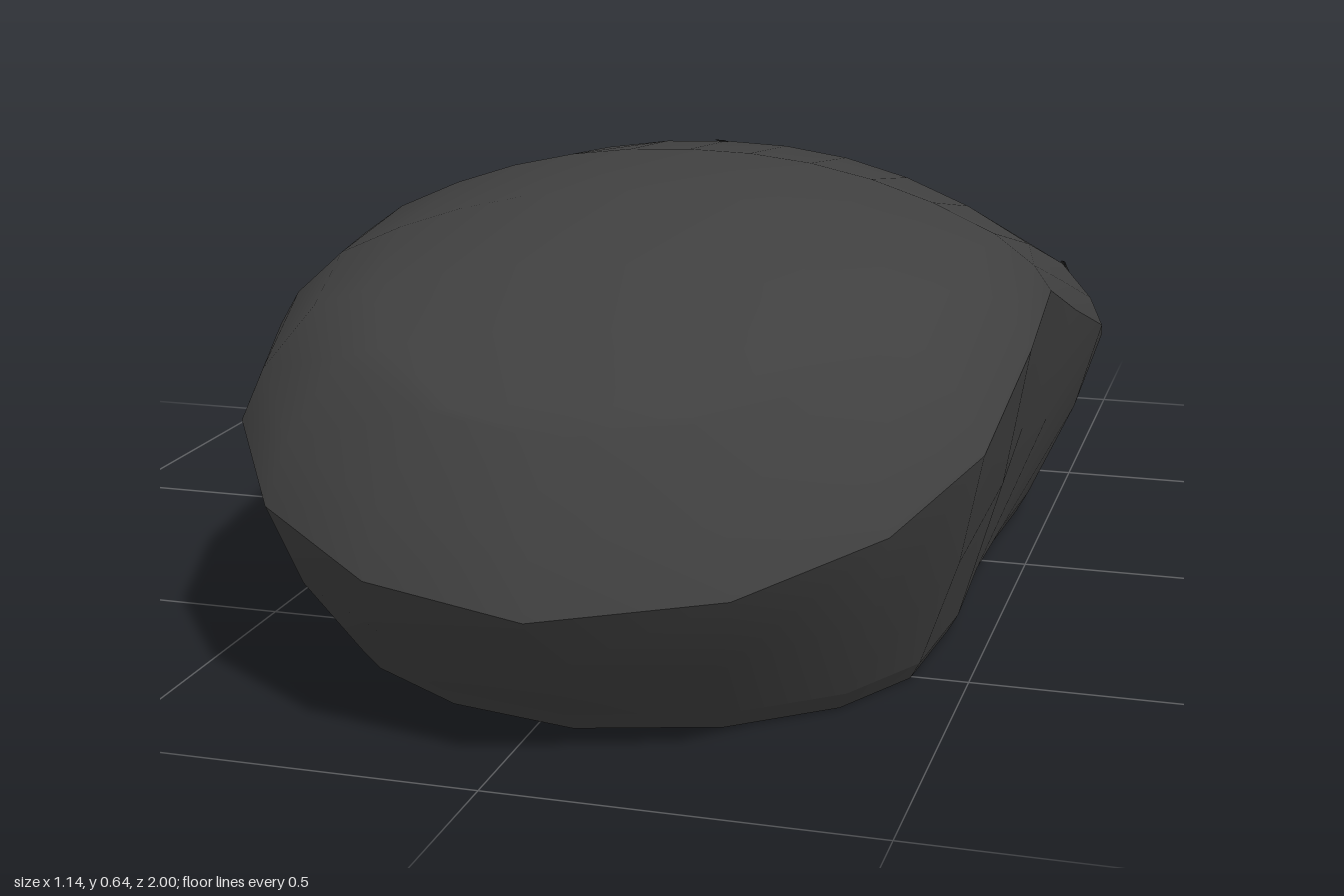
import * as THREE from 'three';
import { mergeVertices, mergeGeometries } from 'three/addons/utils/BufferGeometryUtils.js';

const V = (x, y, z) => new THREE.Vector3(x, y, z);

// Piecewise-linear curve through [z, value] pairs
function curve(pairs) {
  return (z) => {
    let i = 1;
    while (i < pairs.length - 1 && z > pairs[i][0]) i++;
    const [a, b] = [pairs[i - 1], pairs[i]];
    const t = THREE.MathUtils.clamp((z - a[0]) / (b[0] - a[0]), 0, 1);
    return a[1] + (b[1] - a[1]) * t;
  };
}

// Skin rows of points; closed joins the last column to the first
function skin(rows, closed) {
  const pos = [], idx = [], n = rows[0].length;
  rows.forEach((r) => r.forEach((p) => pos.push(p.x, p.y, p.z)));
  for (let i = 0; i < rows.length - 1; i++) {
    for (let j = 0; j < (closed ? n : n - 1); j++) {
      const k = (j + 1) % n;
      const a = i * n + j, b = a + n, c = i * n + k, d = c + n;
      idx.push(a, b, c, c, b, d);
    }
  }
  const g = new THREE.BufferGeometry();
  g.setAttribute('position', new THREE.Float32BufferAttribute(pos, 3));
  g.setIndex(idx);
  return g;
}

function smooth(...geos) {
  const g = mergeVertices(mergeGeometries(geos), 1e-4);
  g.computeVertexNormals();
  return g;
}

export function createModel() {
  const group = new THREE.Group();
  const shellMat = new THREE.MeshStandardMaterial({ color: 0x404040 });
  shellMat.name = 'charcoal plastic';
  const seamMat = new THREE.MeshStandardMaterial({ color: 0x242424, side: THREE.DoubleSide });
  seamMat.name = 'dark seam';
  const add = (name, geo, mat = shellMat, parent = group) => {
    const m = new THREE.Mesh(geo, mat);
    m.name = name;
    parent.add(m);
    return m;
  };

  // Widest outline [x, z], from the nose along +x to the heel and back along -x
  const outline = [
    [-0.04, -1], [0.15, -0.98], [0.33, -0.9], [0.45, -0.75], [0.54, -0.56], [0.565, -0.33],
    [0.55, -0.1], [0.545, 0.15], [0.555, 0.4], [0.535, 0.64], [0.45, 0.8], [0.29, 0.93],
    [0.06, 1], [-0.16, 0.955], [-0.34, 0.84], [-0.445, 0.685], [-0.49, 0.465], [-0.5, 0.2],
    [-0.535, -0.05], [-0.575, -0.27], [-0.575, -0.5], [-0.51, -0.7], [-0.4, -0.86], [-0.23, -0.96],
  ];
  const N = outline.length, half = N / 2;
  const rimY = curve([[-1, 0.17], [-0.6, 0.22], [-0.3, 0.31], [0.17, 0.465], [0.42, 0.43], [0.68, 0.34], [0.9, 0.25], [1, 0.215]]);
  const creaseY = curve([[-1, 0.225], [-0.71, 0.275], [-0.4, 0.375], [-0.02, 0.5], [0.17, 0.54], [0.4, 0.53], [0.68, 0.485], [0.89, 0.405]]);
  const spineY = curve([[-0.955, 0.225], [-0.92, 0.27], [-0.82, 0.335], [-0.55, 0.46], [-0.4, 0.51], [-0.26, 0.567],
    [-0.1, 0.61], [0.1, 0.64], [0.31, 0.64], [0.52, 0.61], [0.71, 0.535], [0.89, 0.405]]);

  const rim = outline.map(([x, z]) => V(x, rimY(z), z));
  // Upper edge, moved inward from the rim along the outline normal
  const inset = (f, h) => rim.map((p, i) => {
    const a = rim[(i + N - 1) % N], b = rim[(i + 1) % N];
    const d = V(-(b.z - a.z), 0, b.x - a.x).normalize();
    const amount = THREE.MathUtils.lerp(0.045, 0.11, (p.z + 1) / 2);
    const q = p.clone().addScaledVector(d, amount * f);
    q.y = THREE.MathUtils.lerp(p.y, creaseY(p.z + d.z * amount), h);
    return q;
  });
  const crease = inset(1, 1);

  // Side wall, tapering to the base
  const ring = (s, y) => rim.map((p) => V(p.x * s, y(p.y), p.z * s));
  const foot = ring(0.79, () => 0), lip = ring(0.82, () => 0.03);
  const wall = [lip, ring(0.935, (y) => 0.03 + (y - 0.03) * 0.52), rim];
  add('sideWall', smooth(skin(wall, true)));
  add('baseBevel', smooth(skin([foot, lip], true)));
  add('base', smooth(skin([foot.map(() => V(0, 0, 0)), foot], true)));

  // Domed top: rows run across between paired edge points
  const cols = 10;
  const topRows = [];
  for (let i = 0; i <= half; i++) {
    const R = crease[i], L = crease[(N - i) % N], row = [];
    for (let j = 0; j <= cols; j++) {
      const u = j / cols, p = L.clone().lerp(R, u);
      const rise = Math.max(0, spineY(p.z) - p.y);
      p.y += rise * (1 - Math.pow(Math.abs(2 * u - 1), 2.2));
      row.push(p);
    }
    topRows.push(row);
  }
  add('topShell', smooth(skin([rim, inset(0.3, 0.45), crease], true), skin(topRows, false)));

  // Split line between the buttons
  const mid = topRows.map((r) => r[cols / 2]);
  const path = [...mid.slice(0, 6), mid[6].clone().lerp(mid[7], 0.2)];
  const widths = [0.009, 0.009, 0.01, 0.015, 0.014, 0.008, 0.007];
  add('buttonSplit', smooth(skin(path.map((p, i) =>
    [-1, 1].map((s) => V(p.x + s * widths[i], p.y + 0.004, p.z))), false)), seamMat);

  // Seam around the front edge of the buttons
  const seam = [...crease.slice(N - 5), ...crease.slice(0, 6)];
  const seamPath = new THREE.CurvePath();
  for (let i = 1; i < seam.length; i++) seamPath.add(new THREE.LineCurve3(seam[i - 1], seam[i]));
  add('buttonSeam', new THREE.TubeGeometry(seamPath, 60, 0.005, 5, false), seamMat);

  // Slot frame around the wheel
  const capsule = (P, w, l) => {
    const r = w * 0.75;
    P.moveTo(-w, -l + r);
    P.quadraticCurveTo(-w, -l, -w + r, -l).lineTo(w - r, -l).quadraticCurveTo(w, -l, w, -l + r);
    P.lineTo(w, l - r).quadraticCurveTo(w, l, w - r, l).lineTo(-w + r, l).quadraticCurveTo(-w, l, -w, l - r);
    return P;
  };
  const slotShape = capsule(new THREE.Shape(), 0.07, 0.172);
  slotShape.holes.push(capsule(new THREE.Path(), 0.058, 0.158));
  const slot = add('wheelSlot', new THREE.ExtrudeGeometry(slotShape, { depth: 0.02, bevelEnabled: false, curveSegments: 5 }), seamMat);
  slot.rotation.x = -Math.PI / 2 - 0.44;
  slot.position.set(-0.028, spineY(-0.69) - 0.008, -0.69);

  // Scroll wheel with ribs
  const wheel = new THREE.Group();
  wheel.name = 'scrollWheel';
  wheel.position.set(-0.028, 0.32, -0.675);
  group.add(wheel);
  const profile = [[0, -0.056], [0.125, -0.056], [0.145, -0.045], [0.152, -0.02], [0.152, 0.02], [0.145, 0.045], [0.125, 0.056], [0, 0.056]];
  add('wheelTyre', new THREE.LatheGeometry(profile.map(([r, y]) => new THREE.Vector2(r, y)), 28), shellMat, wheel).rotation.z = Math.PI / 2;
  for (let i = 0; i < 22; i++) {
    const a = (i / 22) * Math.PI * 2;
    const rib = add('wheelRib', new THREE.BoxGeometry(0.06, 0.014, 0.02), shellMat, wheel);
    rib.position.set(0, Math.cos(a) * 0.152, Math.sin(a) * 0.152);
    rib.rotation.x = a;
  }
  return group;
}
